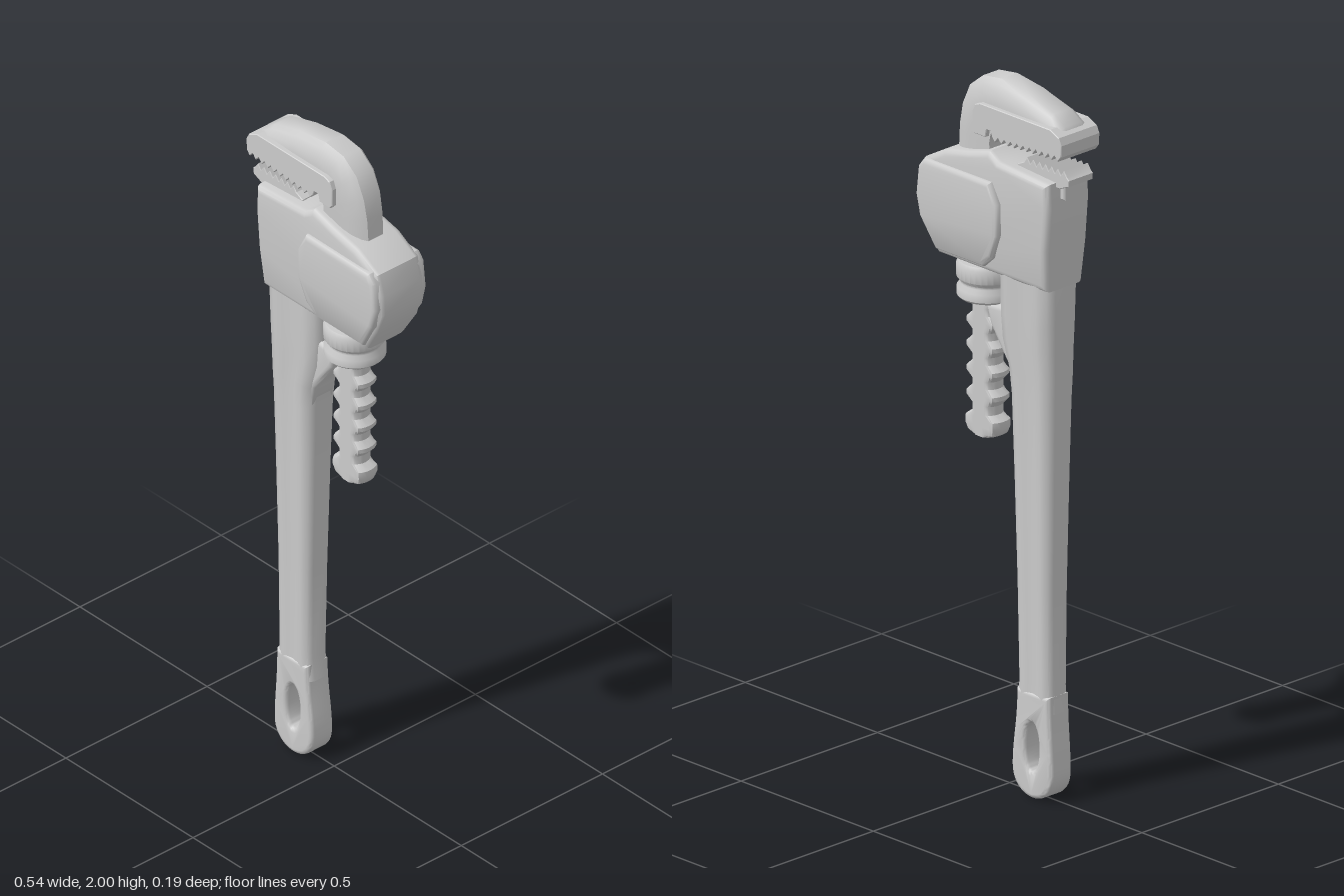
import * as THREE from 'three';
import { toCreasedNormals } from 'three/addons/utils/BufferGeometryUtils.js';

const material = new THREE.MeshStandardMaterial({ color: 0xcccccc });

function part(name, geometry, crease = 0.6) {
  const mesh = new THREE.Mesh(toCreasedNormals(geometry, crease), material);
  mesh.name = name;
  return mesh;
}

// Skins cross-sections. Row: [ax, ay, bx, by, halfDepth]; half section: [u from a to b, share of depth].
function loft(rows, half) {
  const section = [...half, ...half.map(([u, v]) => [u, -v]).reverse()];
  const n = section.length, pos = [], index = [];
  for (const [ax, ay, bx, by, w] of rows) {
    for (const [u, v] of section) pos.push(ax + (bx - ax) * u, ay + (by - ay) * u, v * w);
  }
  for (let i = 0; i < rows.length - 1; i++) {
    for (let j = 0; j < n; j++) {
      const a = i * n + j, b = i * n + (j + 1) % n;
      index.push(a, b, b + n, a, b + n, a + n);
    }
  }
  // End caps
  [0, rows.length - 1].forEach((r, end) => {
    const [ax, ay, bx, by] = rows[r], c = pos.length / 3;
    pos.push((ax + bx) / 2, (ay + by) / 2, 0);
    for (let j = 0; j < n; j++) {
      const a = r * n + j, b = r * n + (j + 1) % n;
      index.push(c, ...(end ? [a, b] : [b, a]));
    }
  });
  const g = new THREE.BufferGeometry();
  g.setAttribute('position', new THREE.Float32BufferAttribute(pos, 3));
  g.setIndex(index);
  return g;
}

// Flat outline thickened to +-halfDepth, with the bevel kept inside the outline.
function slab(shape, halfDepth, bevel = 0.006, segments = 2) {
  const g = new THREE.ExtrudeGeometry(shape, {
    depth: 2 * (halfDepth - bevel), bevelEnabled: true, bevelThickness: bevel,
    bevelSize: bevel, bevelOffset: -bevel, bevelSegments: segments, curveSegments: 20,
  });
  return g.translate(0, 0, bevel - halfDepth);
}

const outline = (points) => new THREE.Shape(points.map(([x, y]) => new THREE.Vector2(x, y)));

// Saw teeth between two points, tips offset by h in y.
function teeth(x0, y0, x1, y1, count, h) {
  const pts = [];
  for (let i = 0; i < count; i++) {
    const at = (t) => [x0 + (x1 - x0) * t / count, y0 + (y1 - y0) * t / count];
    const tip = at(i + 0.5);
    pts.push(at(i), [tip[0], tip[1] + h]);
  }
  pts.push([x1, y1]);
  return pts;
}

export function createModel() {
  const wrench = new THREE.Group();
  wrench.name = 'pipeWrench';

  // Handle shaft with shallow channels on its broad faces
  const shaftSection = [[0, 0.45], [0.05, 0.8], [0.2, 1], [0.35, 0.93], [0.5, 0.88],
    [0.65, 0.93], [0.8, 1], [0.95, 0.8], [1, 0.45]];
  const shaftRows = [
    [0.25, -0.19, -0.055, 0.04], [0.32, -0.185, -0.064, 0.04], [0.6, -0.186, -0.06, 0.044],
    [0.9, -0.192, -0.052, 0.049], [1.13, -0.197, -0.045, 0.054], [1.2, -0.2, -0.038, 0.057],
    [1.28, -0.201, -0.015, 0.061], [1.35, -0.203, -0.01, 0.064], [1.48, -0.205, -0.01, 0.068],
  ].map(([y, x0, x1, w]) => [x0, y, x1, y, w]);
  wrench.add(part('handleShaft', loft(shaftRows, shaftSection), 0.8));

  // Hanging eye at the foot of the handle
  const eye = new THREE.Shape();
  eye.moveTo(-0.187, 0.3);
  eye.bezierCurveTo(-0.187, 0.2, -0.197, 0.15, -0.197, 0.08);
  eye.bezierCurveTo(-0.197, -0.027, -0.045, -0.027, -0.045, 0.08);
  eye.bezierCurveTo(-0.045, 0.15, -0.063, 0.2, -0.063, 0.3);
  const hole = new THREE.Path();
  hole.absellipse(-0.121, 0.145, 0.026, 0.069, 0, Math.PI * 2, true);
  eye.holes.push(hole);
  wrench.add(part('hangingEye', slab(eye, 0.04, 0.012, 3), 0.8));

  // Spur that carries the adjusting nut
  wrench.add(part('nutSpur', slab(outline([[-0.1, 1.1], [-0.046, 1.14], [-0.035, 1.2],
    [0.005, 1.255], [0.035, 1.3], [0.052, 1.355], [-0.01, 1.362], [-0.1, 1.42]]), 0.042, 0.015, 3), 0.8));

  // Housing, narrowing in depth toward its lower edge
  const housing = slab(outline([[-0.207, 1.46], [0.205, 1.46], [0.25, 1.535], [0.27, 1.6], [0.268, 1.66],
    [0.25, 1.72], [0.17, 1.765], [0.08, 1.785], [0, 1.808], [-0.035, 1.785], [-0.222, 1.772],
    [-0.225, 1.7], [-0.215, 1.58]]), 0.08, 0.018, 3);
  const boss = slab(outline([[0.02, 1.475], [0.2, 1.475], [0.25, 1.56], [0.264, 1.62], [0.255, 1.7],
    [0.235, 1.725], [-0.015, 1.725], [-0.045, 1.67], [-0.045, 1.58], [-0.02, 1.51]]), 0.094, 0.014, 3);
  for (const g of [housing, boss]) {
    const p = g.attributes.position;
    for (let i = 0; i < p.count; i++) {
      const t = THREE.MathUtils.clamp((1.56 - p.getY(i)) / 0.1, 0, 1);
      p.setZ(i, p.getZ(i) * (1 - 0.14 * t));
    }
  }
  wrench.add(part('housing', housing, 0.7), part('housingBoss', boss, 0.7));

  // Hook jaw, rounded over its back
  const hookSection = [[0, 0.5], [0.1, 0.72], [0.28, 0.92], [0.48, 1], [1, 1]];
  wrench.add(part('hookJaw', loft([
    [-0.258, 1.895, -0.255, 1.868, 0.058], [-0.24, 1.93, -0.235, 1.87, 0.058],
    [-0.2, 1.957, -0.2, 1.87, 0.058], [-0.1, 1.986, -0.1, 1.87, 0.058],
    [0, 2, -0.02, 1.87, 0.058], [0.07, 1.99, 0, 1.862, 0.058], [0.12, 1.95, 0.014, 1.845, 0.057],
    [0.148, 1.89, 0.02, 1.82, 0.056], [0.16, 1.83, 0.02, 1.79, 0.054], [0.165, 1.75, 0.02, 1.74, 0.052],
  ], hookSection), 0.8));

  // Toothed plate of the hook jaw
  wrench.add(part('upperJawPlate', slab(outline([
    ...teeth(-0.266, 1.862, -0.005, 1.848, 11, -0.014), [0, 1.862], [0.015, 1.862], [0.02, 1.84],
    [0.062, 1.84], [0.07, 1.85], [0.07, 1.9], [0.06, 1.922], [0.04, 1.93], [-0.225, 1.93],
    [-0.258, 1.915], [-0.268, 1.895]]), 0.071, 0.002, 1), 0.4));

  // Toothed heel jaw set in the housing, and its locating tab
  wrench.add(part('heelJaw', slab(outline([[-0.268, 1.772], [-0.235, 1.758], [-0.07, 1.758], [-0.075, 1.785],
    ...teeth(-0.1, 1.797, -0.262, 1.797, 7, 0.016), [-0.27, 1.79]]), 0.045, 0.002, 1), 0.4));
  wrench.add(part('heelJawTab', slab(outline([[-0.238, 1.72], [-0.1, 1.72], [-0.1, 1.77], [-0.238, 1.77]]),
    0.03, 0.004, 1), 0.4));

  // Adjusting nut with a groove round its waist
  const lathe = (points) => new THREE.LatheGeometry(points.map(([r, y]) => new THREE.Vector2(r, y)), 32);
  const nut = part('adjustingNut', lathe([[0, 1.357], [0.076, 1.357], [0.083, 1.364], [0.083, 1.386],
    [0.074, 1.398], [0.074, 1.404], [0.084, 1.416], [0.084, 1.452], [0.078, 1.462], [0, 1.462]]), 0.7);
  nut.position.x = 0.082;
  wrench.add(nut);

  // Threaded shank: ribs on the edges, flats on the broad faces
  const profile = [[0, 0.965], [0.035, 0.966], [0.054, 0.976], [0.062, 0.995], [0.061, 1.015], [0.041, 1.03]];
  for (let i = 0; i < 5; i++) {
    const y = 1.081 + i * 0.069;
    profile.push([0.041, y - 0.026], [0.058, y - 0.007], [0.058, y + 0.005], [0.041, y + 0.022]);
  }
  profile.push([0.041, 1.4], [0, 1.4]);
  const shankGeometry = lathe(profile), sp = shankGeometry.attributes.position;
  for (let i = 0; i < sp.count; i++) sp.setZ(i, THREE.MathUtils.clamp(sp.getZ(i), -0.033, 0.033));
  const shank = part('threadedShank', shankGeometry, 0.7);
  shank.position.x = 0.082;
  wrench.add(shank);

  return wrench;
}
